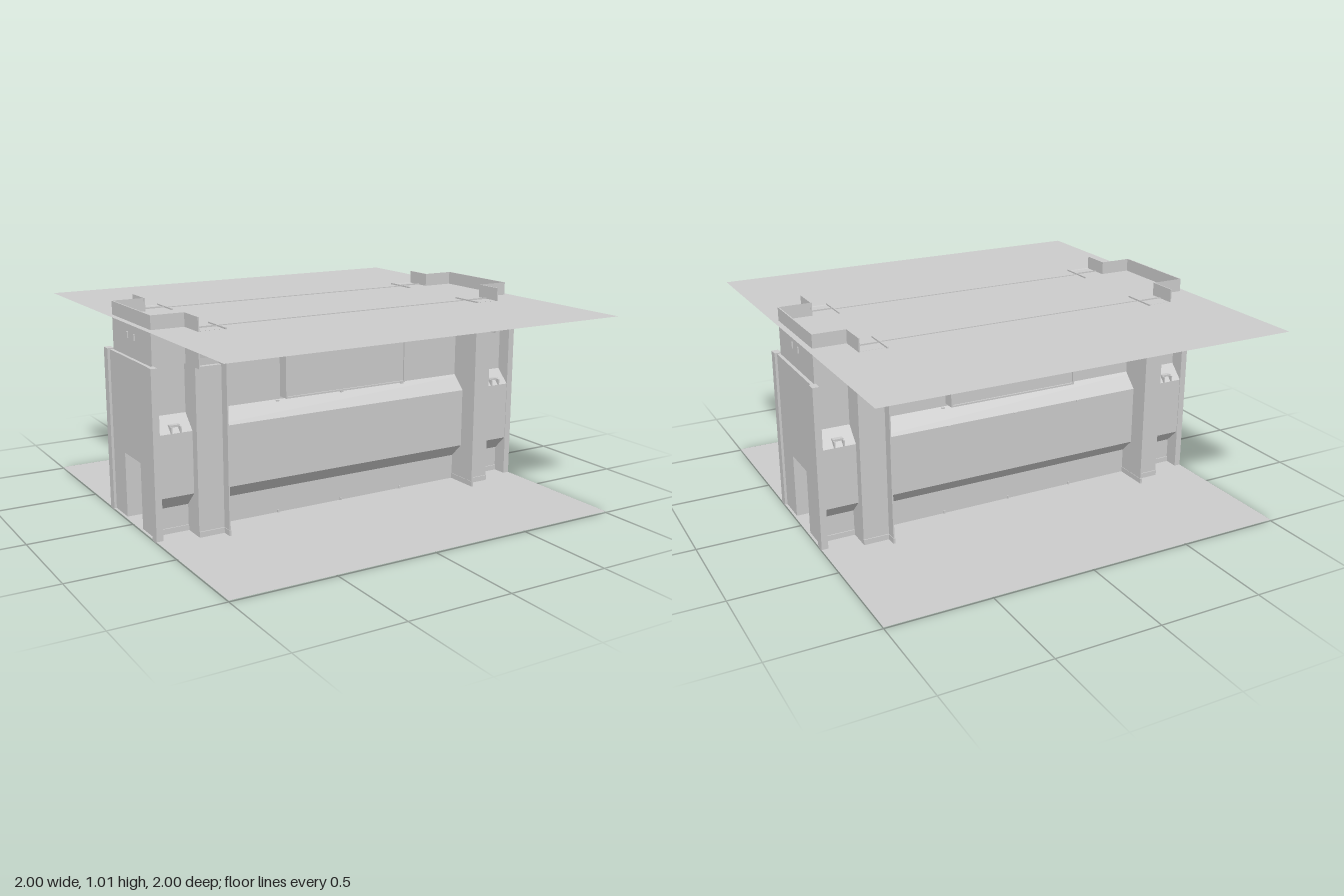
import * as THREE from 'three';

const mat = new THREE.MeshStandardMaterial({ color: 0xcccccc, flatShading: true, side: THREE.DoubleSide });

export function createModel() {
  const root = new THREE.Group();

  const add = (parent, name, geometry) => {
    const m = new THREE.Mesh(geometry, mat);
    m.name = name;
    parent.add(m);
    return m;
  };

  // Box given by its minimum and maximum corners
  const box = (parent, name, x0, x1, y0, y1, z0, z1) => {
    const m = add(parent, name, new THREE.BoxGeometry(x1 - x0, y1 - y0, z1 - z0));
    m.position.set((x0 + x1) / 2, (y0 + y1) / 2, (z0 + z1) / 2);
    return m;
  };

  // Open sheet: a [z, y] profile swept along x
  const sheet = (parent, name, profile, x0, x1) => {
    const pos = [];
    for (let i = 0; i < profile.length - 1; i++) {
      const [za, ya] = profile[i], [zb, yb] = profile[i + 1];
      pos.push(x0, ya, za, x1, ya, za, x1, yb, zb, x0, ya, za, x1, yb, zb, x0, yb, zb);
    }
    const g = new THREE.BufferGeometry();
    g.setAttribute('position', new THREE.Float32BufferAttribute(pos, 3));
    g.computeVertexNormals();
    return add(parent, name, g);
  };

  // Flat ground and roof sheets
  for (const [name, y] of [['groundSheet', 0.006], ['roofSheet', 0.948]]) {
    const p = add(root, name, new THREE.PlaneGeometry(2, 2).rotateX(-Math.PI / 2));
    p.position.y = y;
  }

  // Long side, built facing +z
  const makeSide = () => {
    const side = new THREE.Group();
    side.name = 'longSide';
    sheet(side, 'slopedWall', [[0.21, 0.006], [0.21, 0.13], [0.28, 0.2], [0.28, 0.49], [0.21, 0.56], [0.21, 0.785]], -0.97, 0.97);
    sheet(side, 'parapet', [[0.21, 0.785], [0.28, 0.785], [0.28, 0.952]], -0.685, 0.685);

    // Raised central panel with a thin rim
    box(side, 'centrePanel', -0.325, 0.325, 0.58, 0.77, 0.2, 0.262);
    for (const x of [-0.333, 0.325]) box(side, 'panelRim', x, x + 0.008, 0.572, 0.778, 0.2, 0.27);
    for (const y of [0.572, 0.77]) box(side, 'panelRim', -0.333, 0.333, y, y + 0.008, 0.2, 0.27);

    // Seam studs along the wall
    for (const x of [-0.35, 0, 0.35]) {
      box(side, 'stud', x - 0.008, x + 0.008, 0.484, 0.49, 0.275, 0.285);
      box(side, 'stud', x - 0.008, x + 0.008, 0.552, 0.558, 0.21, 0.222);
      box(side, 'stud', x - 0.004, x + 0.004, 0.006, 0.02, 0.21, 0.217);
    }

    for (const s of [-1, 1]) {
      const span = (a, b) => (s > 0 ? [a, b] : [-b, -a]);
      const [x0, x1] = span(0.685, 0.812);

      // Pilaster shaft, foot, inner fin and flared head
      box(side, 'pilaster', x0, x1, 0.006, 0.785, 0.2, 0.325);
      box(side, 'pilasterFoot', x0, x1, 0, 0.032, 0.2, 0.33);
      box(side, 'pilasterFin', ...span(0.681, 0.687), 0, 0.955, 0.2, 0.376);
      box(side, 'finFoot', ...span(0.679, 0.689), 0, 0.032, 0.2, 0.38);
      const flare = [];
      for (let i = 0; i <= 8; i++) {
        const a = (i / 8) * Math.PI / 2;
        flare.push([0.37 - 0.07 * Math.cos(a), 0.785 + 0.165 * Math.sin(a)]);
      }
      sheet(side, 'pilasterFlare', flare, x0, x1);
      sheet(side, 'pilasterBack', [[0.29, 0.785], [0.29, 0.955]], x0, x1);

      // Tower side, its wing wall, and the ledge below
      sheet(side, 'towerSide', [[0.23, 0.785], [0.23, 1.012]], ...span(0.812, 0.972));
      box(side, 'towerWing', ...span(0.808, 0.814), 0.785, 1.012, 0.228, 0.37);
      sheet(side, 'towerLedge', [[0.2, 0.785], [0.23, 0.785]], ...span(0.812, 0.972));

      // Bay handle on the slope and low kerb
      box(side, 'handle', ...span(0.865, 0.915), 0.515, 0.525, 0.235, 0.268);
      for (const x of [0.865, 0.909]) box(side, 'handleLeg', ...span(x, x + 0.006), 0.49, 0.52, 0.24, 0.285);
      box(side, 'bayKerb', ...span(0.812, 0.97), 0.006, 0.032, 0.2, 0.215);
    }
    return side;
  };

  const front = makeSide();
  const back = makeSide();
  back.rotation.y = Math.PI;
  root.add(front, back);

  // End with doorway, built facing +x
  const makeEnd = () => {
    const end = new THREE.Group();
    end.name = 'endWall';
    const s = new THREE.Shape([[-0.283, 0.006], [-0.095, 0.006], [-0.095, 0.32], [0.095, 0.32], [0.095, 0.006],
      [0.283, 0.006], [0.283, 0.785], [-0.283, 0.785]].map(p => new THREE.Vector2(...p)));
    const slab = new THREE.ExtrudeGeometry(s, { depth: 0.02, bevelEnabled: false });
    slab.rotateY(Math.PI / 2).translate(0.968, 0, 0);
    add(end, 'doorSlab', slab);
    box(end, 'towerEnd', 0.966, 0.972, 0.785, 1.012, -0.23, 0.23);
    for (const k of [-1, 1]) {
      const z = k * 0.26;
      box(end, 'cornerPost', 0.968, 1, 0, 0.79, z - 0.023, z + 0.023);
      box(end, 'doorJamb', 0.87, 0.98, 0.006, 0.32, k * 0.1 - 0.005, k * 0.1 + 0.005);
      box(end, 'wallHook', 0.97, 0.978, 0.87, 0.9, k * 0.04 - 0.004, k * 0.04 + 0.004);
    }
    box(end, 'doorLintel', 0.87, 0.98, 0.32, 0.33, -0.105, 0.105);
    return end;
  };

  const leftEnd = makeEnd();
  const rightEnd = makeEnd();
  rightEnd.rotation.y = Math.PI;
  root.add(leftEnd, rightEnd);

  return root;
}
